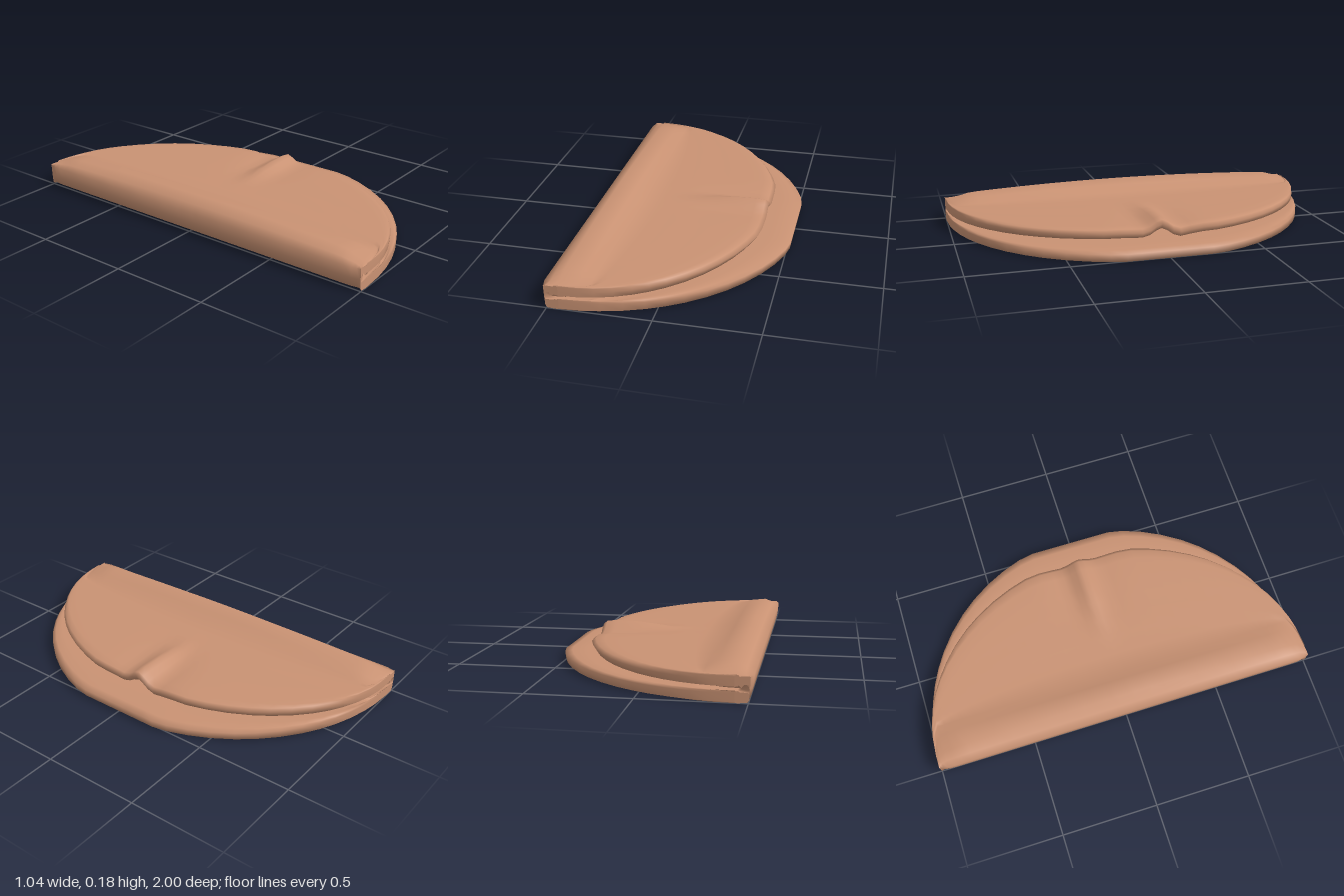
import * as THREE from 'three';

const FOLD = -0.52, HINGE = -0.3;

// Cross-section of the folded sheet at mid length: [x, y, layer tip x]
const LOW = 0.52, TOP = 0.37;
const profile = [
  // underside, right to left
  [0.515, 0.004, LOW], [0.4, 0.002, LOW], [0.2, 0, LOW], [-0.1, 0, LOW], [-0.43, 0.003, LOW],
  // outside of the fold
  [-0.505, 0.015, LOW], [-0.515, 0.06, LOW], [-0.52, 0.115, TOP], [-0.485, 0.148, TOP],
  [-0.44, 0.18, TOP], [-0.35, 0.163, TOP], [-0.3, 0.13, TOP],
  // upper face of the flap
  [-0.2, 0.122, TOP], [-0.1, 0.125, TOP], [0, 0.122, TOP], [0.1, 0.124, TOP], [0.2, 0.122, TOP],
  [0.3, 0.122, TOP], [0.35, 0.117, TOP], [0.37, 0.1, TOP], [0.35, 0.072, TOP],
  // lower face of the flap
  [0.25, 0.072, TOP], [0.1, 0.075, TOP], [-0.05, 0.074, TOP], [-0.2, 0.078, TOP], [-0.33, 0.067, TOP],
  // inside of the fold
  [-0.38, 0.083, TOP], [-0.44, 0.08, TOP], [-0.465, 0.058, LOW], [-0.45, 0.046, LOW],
  // upper face of the base layer
  [-0.3, 0.049, LOW], [-0.2, 0.053, LOW], [-0.08, 0.053, LOW], [0.1, 0.048, LOW],
  [0.3, 0.05, LOW], [0.4, 0.055, LOW], [0.48, 0.051, LOW], [0.52, 0.042, LOW],
];

const bell = (z, mid, width) => Math.exp(-(((z - mid) / width) ** 2));

// Fits the section to the round outline at a given z
function sectionAt(z) {
  const arc = Math.sqrt(Math.max(0, 1 - z * z));
  const a = Math.abs(z);
  // ridge along the fold sinks toward both ends
  const ridge = a < 0.87 ? 1 - 0.38 * (a / 0.87) ** 2 : 0.62 - 0.54 * (a - 0.87) / 0.13;
  return profile.map(([x, y, tip]) => {
    const full = tip - FOLD;
    const width = Math.min(full, 0.08 + (full - 0.05) * arc);
    const k = Math.min(1, width / 0.3);
    const hinge = FOLD + (HINGE - FOLD) * k;
    let px, py = y;
    if (x <= HINGE) {
      px = FOLD + (x - FOLD) * k;
      if (y > 0.115) py = 0.115 + (y - 0.115) * ridge;
    } else {
      px = hinge + (x - HINGE) / (tip - HINGE) * (FOLD + width - hinge);
      // short crease running in from the middle of the flap's edge
      if (tip === TOP) {
        const ramp = THREE.MathUtils.smoothstep(px, -0.1, 0.25);
        py += ramp * (0.036 * bell(z, 0, 0.05) - 0.016 * bell(z, -0.1, 0.06) - 0.008 * bell(z, 0.1, 0.06));
      }
    }
    if (a > 0.95) px += 0.012 * (a - 0.95) / 0.05 * (x < -0.5 ? 1 : 0);
    return new THREE.Vector2(px, py);
  });
}

export function createModel() {
  const group = new THREE.Group();
  group.name = 'foldedFlatbread';
  const material = new THREE.MeshStandardMaterial({ color: 0xc99273 });

  // Rows along z, closer together at the crease and the ends
  const half = [0.03, 0.06, 0.1, 0.15, 0.22, 0.3, 0.4, 0.5, 0.6, 0.68, 0.76, 0.83, 0.88, 0.92, 0.955, 0.98, 0.993, 1];
  const rows = [...half.map(z => -z).reverse(), 0, ...half];
  const n = profile.length, positions = [], index = [];
  rows.forEach((z, i) => {
    sectionAt(z).forEach((p, j) => {
      positions.push(p.x, p.y, z);
      if (i === rows.length - 1) return;
      const a = i * n + j, b = i * n + (j + 1) % n;
      index.push(a, a + n, b, b, a + n, b + n);
    });
  });
  const geometry = new THREE.BufferGeometry();
  geometry.setAttribute('position', new THREE.Float32BufferAttribute(positions, 3));
  geometry.setIndex(index);
  geometry.computeVertexNormals();
  const sheet = new THREE.Mesh(geometry, material);
  sheet.name = 'foldedSheet';
  group.add(sheet);

  // Flat ends of the fold
  const capMaterial = material.clone();
  capMaterial.side = THREE.DoubleSide;
  for (const z of [-1, 1]) {
    const cap = new THREE.Mesh(new THREE.ShapeGeometry(new THREE.Shape(sectionAt(z))), capMaterial);
    cap.position.z = z;
    cap.name = z > 0 ? 'frontFoldEnd' : 'backFoldEnd';
    group.add(cap);
  }
  return group;
}
